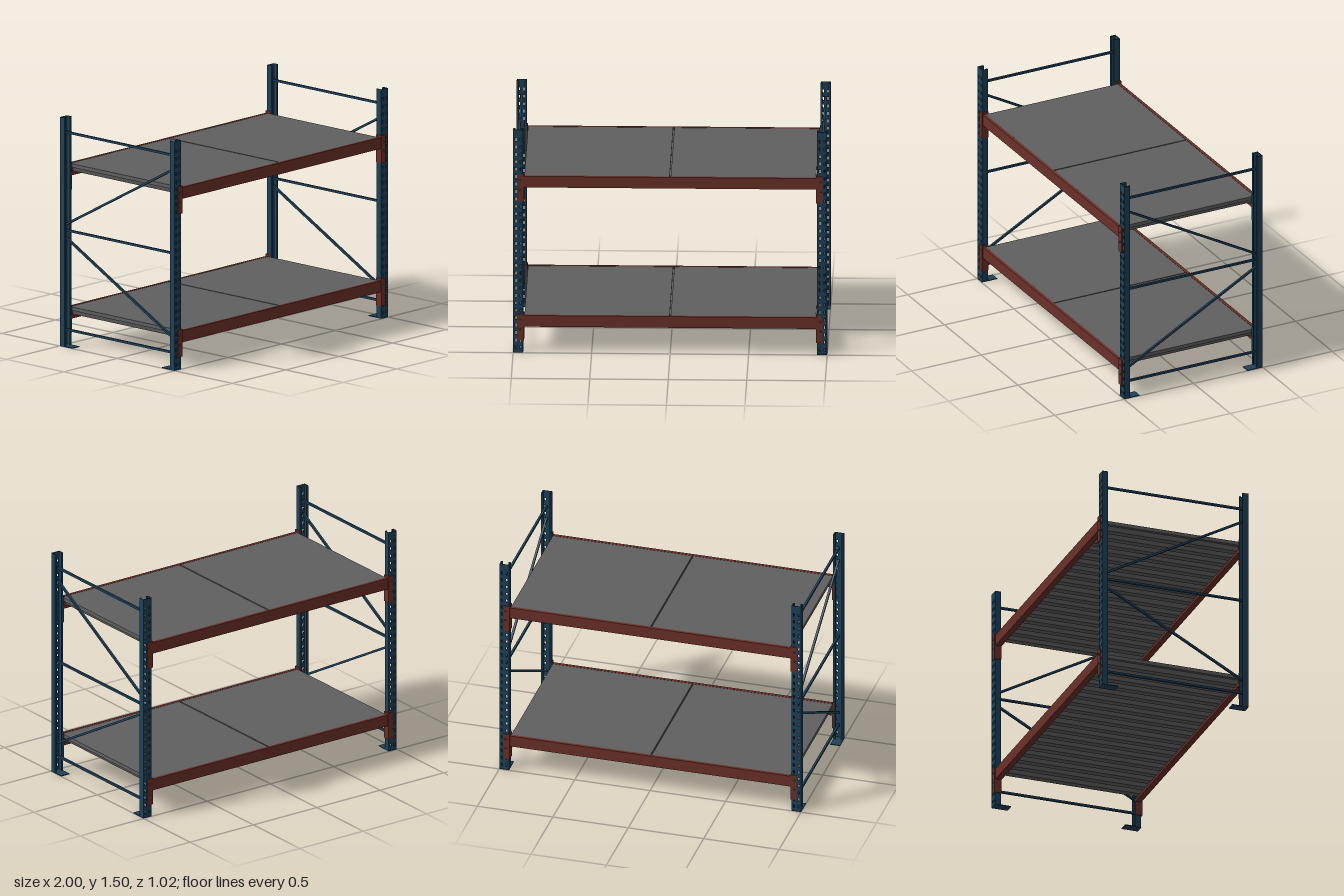
import * as THREE from 'three';

const mat = (name, color) => {
  const m = new THREE.MeshStandardMaterial({ color });
  m.name = name;
  return m;
};

export function createModel() {
  const blue = mat('blue paint', 0x1f4159);
  const red = mat('red paint', 0x6b3029);
  const grey = mat('grey steel', 0x606060);
  const model = new THREE.Group();
  model.name = 'palletRack';

  const H = 1.5, POST_X = 0.968, POST_W = 0.064;
  const levels = [0.25, 1.188];

  const add = (parent, name, geo, material, x = 0, y = 0, z = 0) => {
    const mesh = new THREE.Mesh(geo, material);
    mesh.name = name;
    mesh.position.set(x, y, z);
    parent.add(mesh);
    return mesh;
  };
  const box = (parent, name, material, w, h, d, x, y, z) =>
    add(parent, name, new THREE.BoxGeometry(w, h, d), material, x, y, z);
  const polygon = (pts) => new THREE.Shape(pts.map(([x, y]) => new THREE.Vector2(x, y)));

  // Perforated web of an upright: two columns of tapered, leaning slots
  const hw = POST_W / 2;
  const web = polygon([[-hw, 0], [hw, 0], [hw, H], [-hw, H]]);
  for (let y = 0.035; y < H - 0.02; y += 0.05) {
    for (const s of [-1, 1]) {
      const slot = [[0.011, 0.01], [0.023, 0.01], [0.018, -0.011], [0.012, -0.011]];
      web.holes.push(new THREE.Path(slot.map(([px, py]) => new THREE.Vector2(s * px, y + py))));
    }
  }
  const webGeo = new THREE.ExtrudeGeometry(web, { depth: 0.005, bevelEnabled: false });

  // Stepped beam section in z and y, measured from the beam top
  const beamShape = polygon([
    [0.496, 0], [0.476, 0], [0.476, -0.056], [0.456, -0.056], [0.456, -0.075], [0.496, -0.075],
  ]);
  const beamGeo = new THREE.ExtrudeGeometry(beamShape, { depth: 1.87, bevelEnabled: false });
  beamGeo.translate(0, 0, -0.935);
  beamGeo.rotateY(-Math.PI / 2);

  // One long side; the other is the same side turned round
  const makeSide = (name) => {
    const side = new THREE.Group();
    side.name = name;
    for (const s of [-1, 1]) {
      const post = new THREE.Group();
      post.name = 'upright';
      post.position.x = s * POST_X;
      side.add(post);
      add(post, 'uprightWeb', webGeo, blue, 0, 0, 0.491);
      for (const f of [-1, 1]) {
        box(post, 'uprightFlange', blue, 0.005, H, 0.034, f * (hw - 0.0025), H / 2, 0.474);
        box(post, 'uprightLip', blue, 0.008, H, 0.004, f * (hw - 0.009), H / 2, 0.459);
      }
      box(post, 'basePlate', blue, POST_W, 0.005, 0.11, 0, 0.0025, 0.443);
    }
    for (const top of levels) {
      add(side, 'beam', beamGeo, red, 0, top, 0);
      // Angle connectors hooked on to the uprights
      for (const s of [-1, 1]) {
        box(side, 'connectorSide', red, 0.006, 0.18, 0.047, s * 0.933, top - 0.077, 0.4795);
        box(side, 'connectorFace', red, 0.04, 0.18, 0.006, s * 0.951, top - 0.077, 0.5);
        for (const dy of [-0.025, -0.09]) {
          const hook = add(side, 'connectorHook', new THREE.CylinderGeometry(0.003, 0.006, 0.007, 8),
            red, s * 0.958, top + dy, 0.5065);
          hook.rotation.x = Math.PI / 2;
        }
      }
    }
    return side;
  };
  model.add(makeSide('frontSide'));
  const back = makeSide('backSide');
  back.rotation.y = Math.PI;
  model.add(back);

  // Frame bracing as [z, y] end points
  const braces = [
    [[0.47, 1.4], [-0.47, 1.4]],
    [[0.47, 0.758], [-0.47, 0.758]],
    [[0.47, 0.108], [-0.47, 0.108]],
    [[0.47, 1.313], [-0.47, 0.797]],
    [[0.47, 0.197], [-0.47, 0.708]],
  ];
  for (const s of [-1, 1]) {
    for (const [[z0, y0], [z1, y1]] of braces) {
      const bar = box(model, y0 === y1 ? 'horizontalBrace' : 'diagonalBrace', blue,
        0.014, 0.014, Math.hypot(z1 - z0, y1 - y0), s * POST_X, (y0 + y1) / 2, (z0 + z1) / 2);
      bar.rotation.x = -Math.atan2(y0 - y1, z0 - z1);
    }
  }

  // Deck panel: flat top, trapezoid ribs underneath
  const X0 = 0.004, X1 = 0.928, RIBS = 9, pitch = (X1 - X0) / RIBS;
  const outline = [[X1, 0], [X0, 0], [X0, -0.024]];
  for (let i = 0; i < RIBS; i++) {
    const c = X0 + (i + 0.5) * pitch;
    outline.push([c - 0.031, -0.024], [c - 0.023, -0.055], [c + 0.023, -0.055], [c + 0.031, -0.024]);
  }
  outline.push([X1, -0.024]);
  const panelGeo = new THREE.ExtrudeGeometry(polygon(outline), { depth: 0.95, bevelEnabled: false });
  panelGeo.translate(0, 0, -0.475);
  for (const top of levels) {
    for (const turn of [0, Math.PI]) {
      add(model, 'deckPanel', panelGeo, grey, 0, top - 0.001, 0).rotation.y = turn;
    }
    box(model, 'deckSeam', grey, 0.008, 0.008, 0.95, 0, top - 0.02, 0);
  }
  return model;
}
